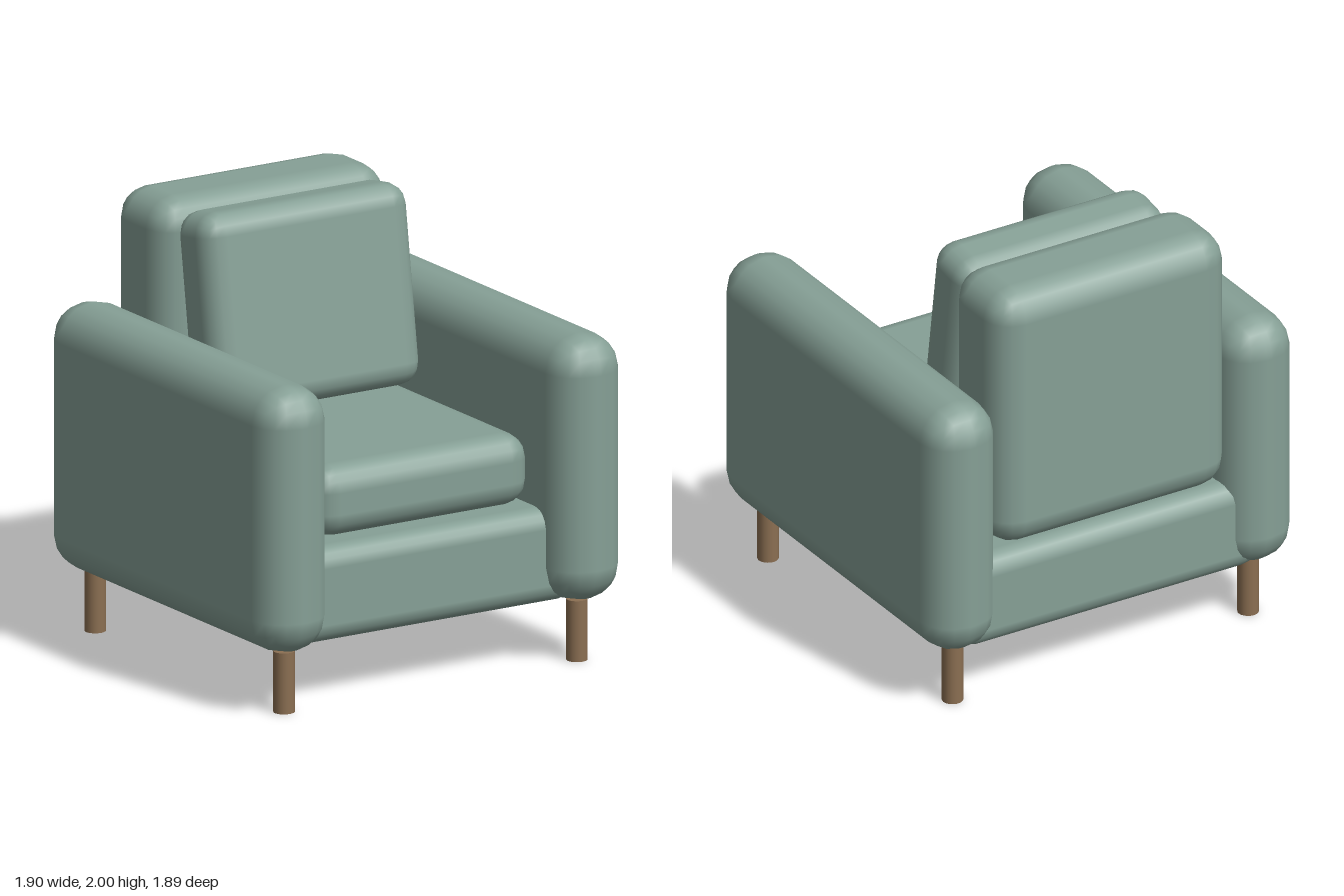
import * as THREE from 'three';
import { RoundedBoxGeometry } from 'three/addons/geometries/RoundedBoxGeometry.js';

export function createModel() {
  const model = new THREE.Group();
  model.name = 'armchair';
  const fabric = new THREE.MeshStandardMaterial({ color: 0x86a096 });
  const wood = new THREE.MeshStandardMaterial({ color: 0x8b6f52 });

  // Padded block given by its size, centre and edge radius
  function pad(name, [w, h, d], [x, y, z], radius) {
    const mesh = new THREE.Mesh(new RoundedBoxGeometry(w, h, d, 2, radius), fabric);
    mesh.name = name;
    mesh.position.set(x, y, z);
    model.add(mesh);
    return mesh;
  }

  // Seat: base frame with a loose cushion just above it
  pad('base', [1.56, 0.44, 1.675], [0, 0.495, -0.048], 0.09);
  pad('seatCushion', [1.135, 0.33, 1.19], [0, 0.895, 0.148], 0.115);

  // Backrest and the pillow leaning against it
  pad('backrest', [1.22, 1.27, 0.44], [0, 1.365, -0.688], 0.14);
  const pillow = pad('backPillow', [1.09, 0.915, 0.3], [0, 1.525, -0.3], 0.105);
  pillow.rotation.x = -0.145;

  // Arms and legs, mirrored left and right
  const legGeometry = new THREE.CylinderGeometry(0.048, 0.048, 0.28, 20);
  for (const side of [1, -1]) {
    const sideName = side > 0 ? 'left' : 'right';
    pad(sideName + 'Arm', [0.355, 1.225, 1.895], [side * 0.772, 0.895, 0], 0.165);
    for (const end of [1, -1]) {
      const leg = new THREE.Mesh(legGeometry, wood);
      leg.name = sideName + (end > 0 ? 'Front' : 'Back') + 'Leg';
      leg.position.set(side * 0.77, 0.14, end * 0.77);
      model.add(leg);
    }
  }
  return model;
}
